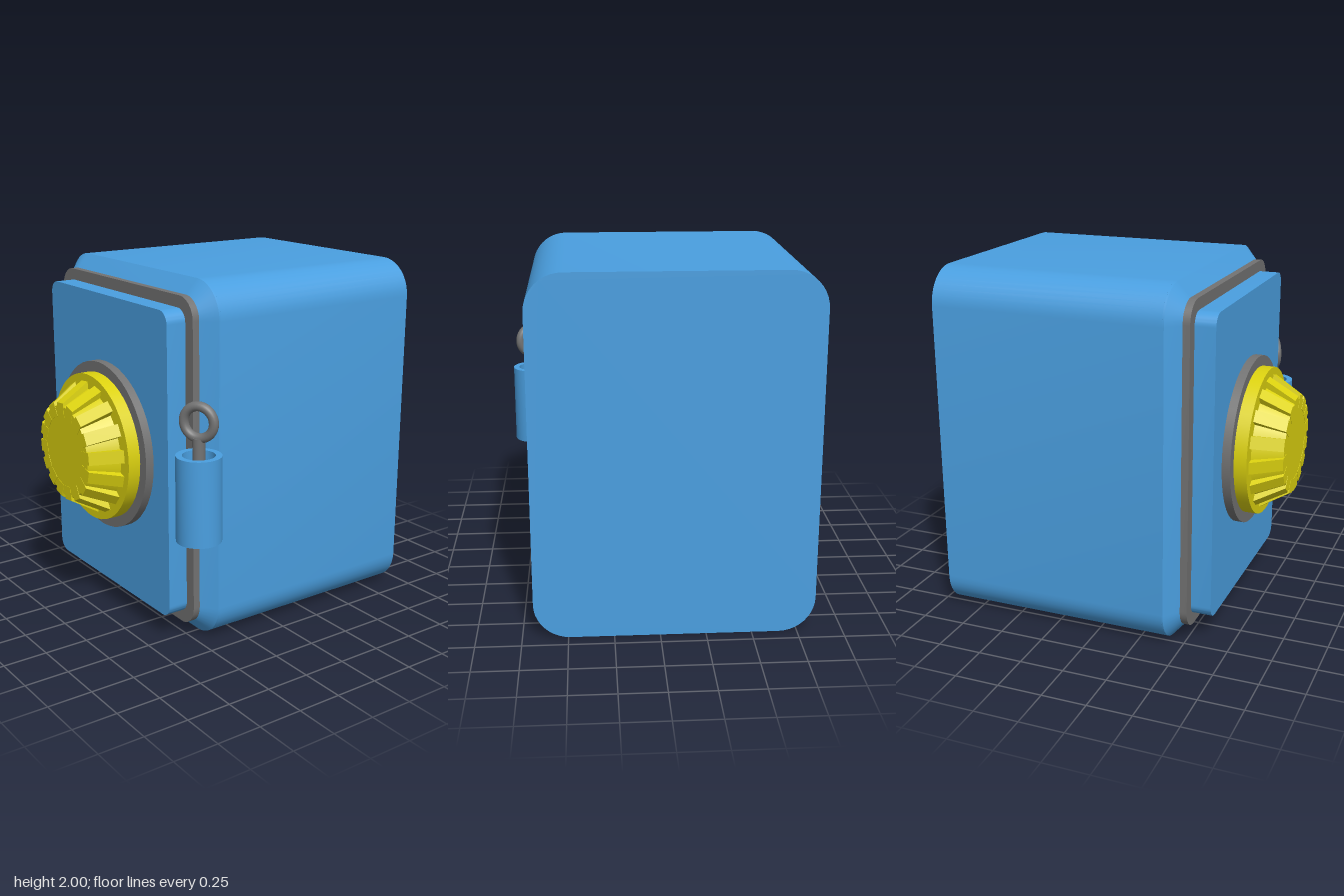
import * as THREE from 'three';
import { toCreasedNormals } from 'three/addons/utils/BufferGeometryUtils.js';

const blue = new THREE.MeshStandardMaterial({ color: 0x4a9fe0 });
const grey = new THREE.MeshStandardMaterial({ color: 0x737373 });
const yellow = new THREE.MeshStandardMaterial({ color: 0xdcd20f });
const CX = -0.08, CY = 1; // centre of the box front

function addMesh(parent, name, geometry, material) {
  const mesh = new THREE.Mesh(geometry, material);
  mesh.name = name;
  parent.add(mesh);
  return mesh;
}

function roundedRect(w, h, r) {
  const x = w / 2, y = h / 2, s = new THREE.Shape();
  s.absarc(x - r, y - r, r, 0, Math.PI / 2);
  s.absarc(r - x, y - r, r, Math.PI / 2, Math.PI);
  s.absarc(r - x, r - y, r, Math.PI, Math.PI * 1.5);
  s.absarc(x - r, r - y, r, Math.PI * 1.5, Math.PI * 2);
  s.closePath();
  return s;
}

// Rounded plate between z0 and z1, centred on the box front
function plate(w, h, r, z0, z1, curveSegments, bevel = {}) {
  const g = new THREE.ExtrudeGeometry(roundedRect(w, h, r),
    { depth: z1 - z0, bevelEnabled: false, curveSegments, ...bevel });
  g.translate(CX, CY, z0);
  return toCreasedNormals(g, 0.6);
}

// Disc or cone along z, from radius r0 at z0 to r1 at z1
function disc(r0, r1, z0, z1) {
  const g = new THREE.CylinderGeometry(r1, r0, z1 - z0, 48);
  g.rotateX(Math.PI / 2);
  g.translate(0, 0, (z0 + z1) / 2);
  return g;
}

// Rib whose outer edge slopes inwards towards the front
function ribGeometry() {
  const s = new THREE.Shape();
  s.moveTo(0.2, 0.75);
  s.lineTo(0.38, 0.75);
  s.lineTo(0.278, 0.92);
  s.lineTo(0.2, 0.92);
  s.closePath();
  const g = new THREE.ExtrudeGeometry(s, { depth: 0.07, bevelEnabled: false });
  g.translate(0, 0, -0.035);
  g.rotateX(Math.PI / 2); // profile height becomes z
  return g;
}

export function createModel() {
  const model = new THREE.Group();
  model.name = 'safe';

  // Box with a chamfered front rim
  addMesh(model, 'body', plate(1.535, 2, 0.2, -0.92, 0.41, 5), blue);
  addMesh(model, 'frontChamfer', plate(1.375, 1.84, 0.12, 0.4, 0.41, 5,
    { bevelEnabled: true, bevelThickness: 0.07, bevelSize: 0.08, bevelSegments: 1 }), blue);

  // Door on its gasket
  addMesh(model, 'gasket', plate(1.375, 1.84, 0.12, 0.47, 0.52, 6), grey);
  addMesh(model, 'door', plate(1.24, 1.71, 0.07, 0.51, 0.635, 6), blue);

  // Ribbed dial
  const dial = new THREE.Group();
  dial.name = 'dial';
  dial.position.set(CX, CY, 0);
  model.add(dial);
  addMesh(dial, 'dialRing', disc(0.48, 0.48, 0.63, 0.683), grey);
  addMesh(dial, 'dialBase', disc(0.42, 0.42, 0.68, 0.755), yellow);
  addMesh(dial, 'dialCore', disc(0.34, 0.26, 0.75, 0.918), yellow);
  const rib = ribGeometry();
  for (let i = 0; i < 16; i++) {
    addMesh(dial, 'dialRib', rib, yellow).rotation.z = (6 + i * 22.5) * Math.PI / 180;
  }

  // Hinge barrel with a hollow top
  const hinge = new THREE.Group();
  hinge.name = 'hinge';
  hinge.position.set(0.717, 0, 0.56);
  model.add(hinge);
  const profile = [[0, 0.655], [0.123, 0.655], [0.123, 1.126], [0.088, 1.126], [0.088, 1.0], [0, 1.0]]
    .map(([r, y]) => new THREE.Vector2(r, y));
  addMesh(hinge, 'hingeBarrel', toCreasedNormals(new THREE.LatheGeometry(profile, 32), 0.6), blue);

  // Pin with a pull ring
  addMesh(hinge, 'hingePin', new THREE.CylinderGeometry(0.034, 0.034, 0.23, 20), grey).position.y = 1.105;
  const ring = addMesh(hinge, 'pullRing', new THREE.TorusGeometry(0.085, 0.026, 14, 36), grey);
  ring.position.y = 1.303;
  ring.rotation.y = Math.PI / 6;

  return model;
}
